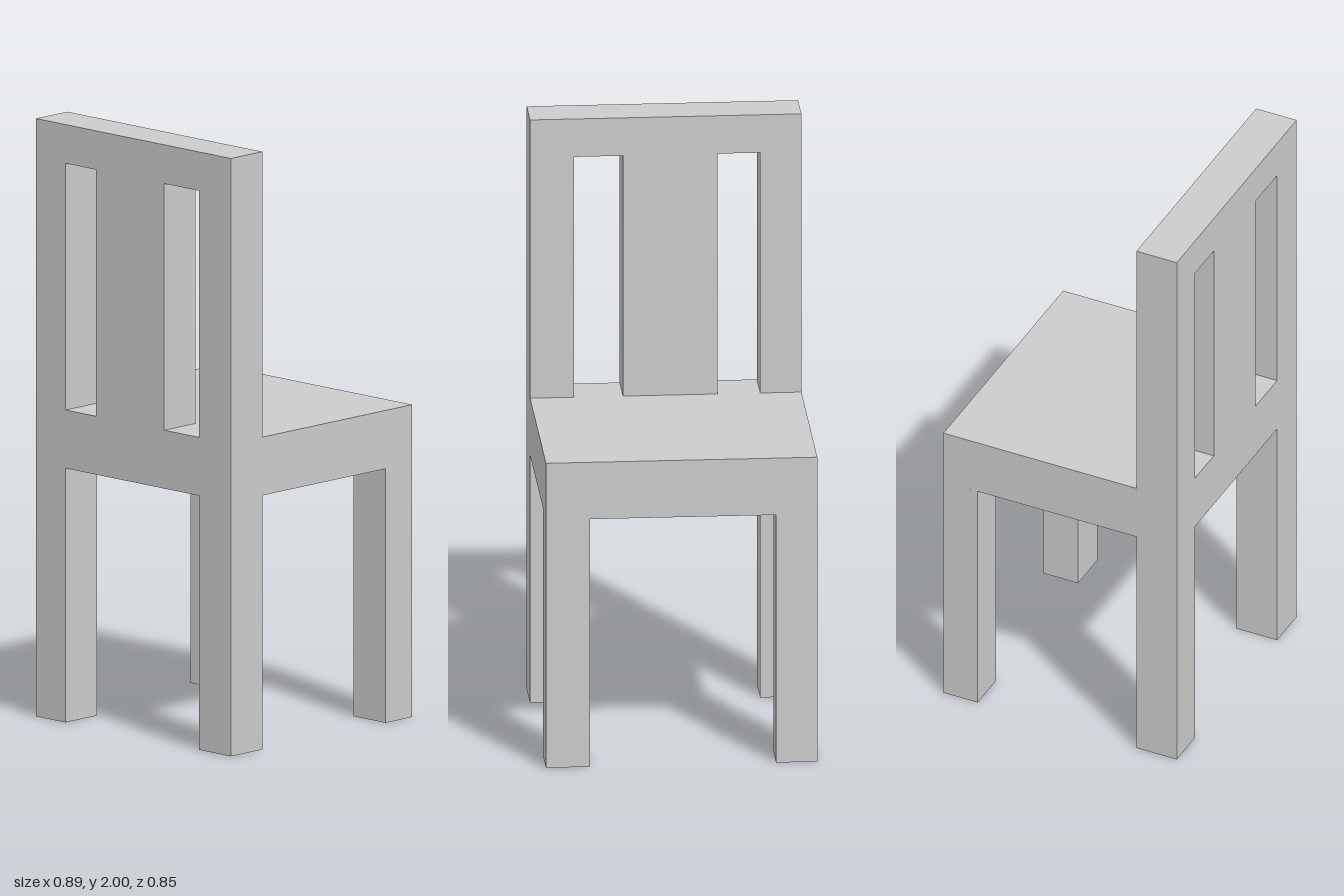
import * as THREE from 'three';

const material = new THREE.MeshStandardMaterial({ color: 0xcccccc, flatShading: true });

// Outer bounds and the shared lines of the chair
const X = 0.445, Z = 0.425;
const LEG_L = -0.31, LEG_R = 0.30; // inner edges of the legs
const SEAT_BOTTOM = 0.85, SEAT_TOP = 1.045, TOP = 2;
const BACK_Z = 0.278, FRONT_Z = -0.30; // inner faces of the back frame and front legs

// Box given by its lower and upper corners
function box(name, [x0, y0, z0], [x1, y1, z1]) {
  const mesh = new THREE.Mesh(new THREE.BoxGeometry(x1 - x0, y1 - y0, z1 - z0), material);
  mesh.position.set((x0 + x1) / 2, (y0 + y1) / 2, (z0 + z1) / 2);
  mesh.name = name;
  return mesh;
}

// Rectangular slot between two x positions in the backrest
function slot(x0, x1) {
  const y0 = SEAT_TOP, y1 = 1.87;
  return new THREE.Path([[x0, y0], [x0, y1], [x1, y1], [x1, y0]].map(p => new THREE.Vector2(...p)));
}

export function createModel() {
  const chair = new THREE.Group();
  chair.name = 'chair';

  // Backrest and its two legs, cut from one board with two slots
  const outline = new THREE.Shape([
    [-X, 0], [LEG_L, 0], [LEG_L, SEAT_BOTTOM], [LEG_R, SEAT_BOTTOM],
    [LEG_R, 0], [X, 0], [X, TOP], [-X, TOP],
  ].map(p => new THREE.Vector2(...p)));
  outline.holes.push(slot(LEG_L, -0.17), slot(0.14, LEG_R));
  const back = new THREE.Mesh(
    new THREE.ExtrudeGeometry(outline, { depth: Z - BACK_Z, bevelEnabled: false }), material);
  back.position.z = BACK_Z;
  back.name = 'backrestWithLegs';
  chair.add(back);

  // Seat slab
  chair.add(box('seat', [-X, SEAT_BOTTOM, -Z], [X, SEAT_TOP, BACK_Z]));

  // Legs under the open edge of the seat
  for (const [name, x0, x1] of [['rightSeatLeg', -X, LEG_L], ['leftSeatLeg', LEG_R, X]]) {
    chair.add(box(name, [x0, 0, -Z], [x1, SEAT_BOTTOM, FRONT_Z]));
  }
  return chair;
}
